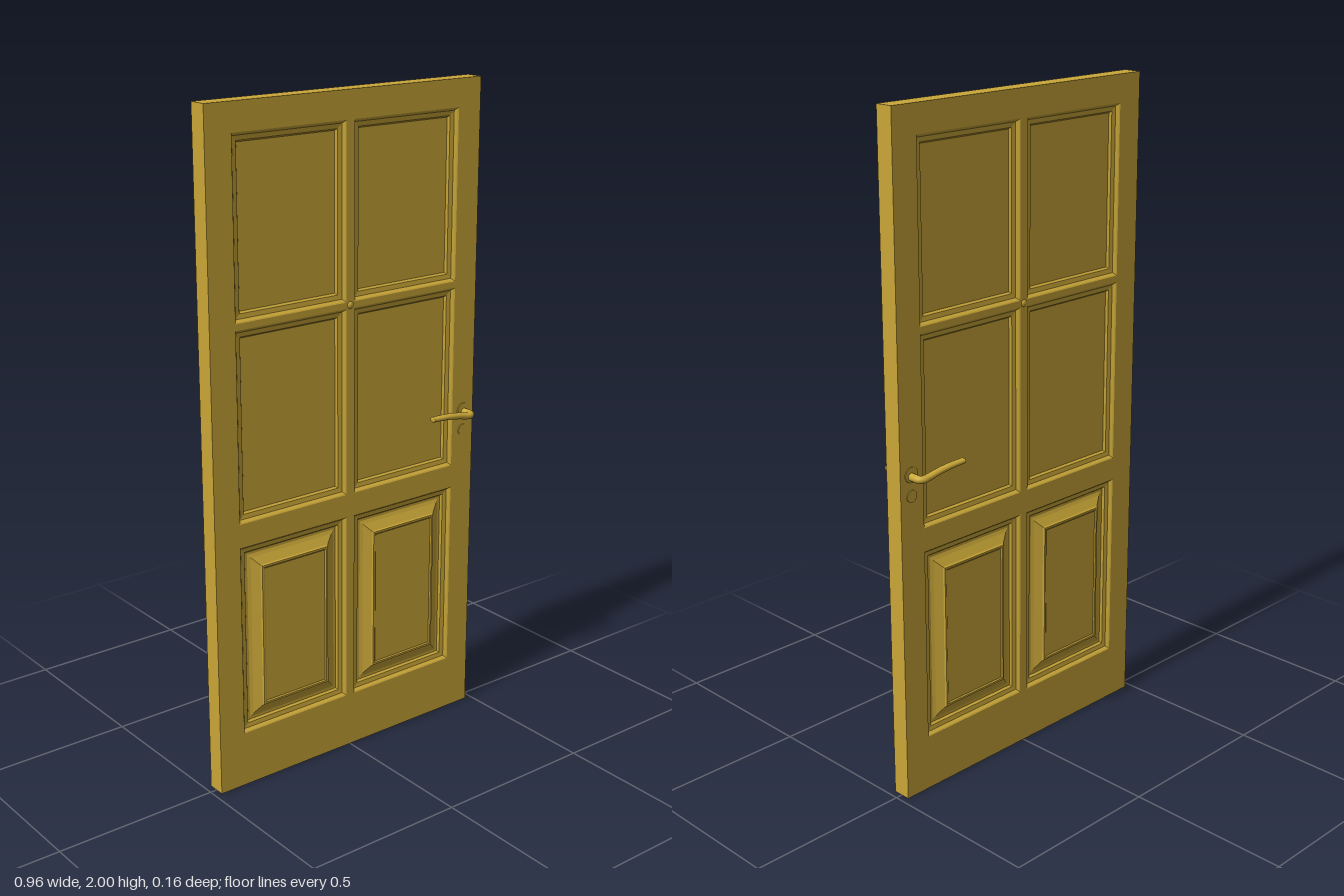
import * as THREE from 'three';

const material = new THREE.MeshStandardMaterial({ color: 0xcaa738 });
const flatMaterial = new THREE.MeshStandardMaterial({ color: 0xcaa738, flatShading: true });
const FACE = 0.028; // half the slab thickness

// openings as [x0, x1, y0, y1, raised]
const openings = [];
for (const [y0, y1, raised] of [[0.17, 0.757, true], [0.827, 1.388, false], [1.407, 1.918, false]]) {
  openings.push([0.014, 0.396, y0, y1, raised], [-0.396, -0.014, y0, y1, raised]);
}

// [inset from the opening edge, z]
const moulding = [[0, FACE], [0.003, 0.026], [0.009, 0.018], [0.023, 0.016], [0.028, 0.009]];
const raisedField = [[0.036, 0.009], [0.046, 0.013], [0.07, 0.027], [0.073, 0.032], [0.079, 0.032], [0.083, 0.029]];

function add(parent, geometry, mat, name) {
  const mesh = new THREE.Mesh(geometry, mat);
  mesh.name = name;
  parent.add(mesh);
  return mesh;
}

function rectangle(PathType, x0, x1, y0, y1) {
  return new PathType([[x0, y0], [x1, y0], [x1, y1], [x0, y1]].map(([x, y]) => new THREE.Vector2(x, y)));
}

// mitred rectangular rings that follow a profile inwards, closed by a flat centre
function panelGeometry(x0, x1, y0, y1, profile) {
  const rings = profile.map(([d, z]) => [
    [x0 + d, y0 + d, z], [x1 - d, y0 + d, z], [x1 - d, y1 - d, z], [x0 + d, y1 - d, z],
  ]);
  const positions = [];
  const quad = (a, b, c, d) => positions.push(...a, ...b, ...c, ...a, ...c, ...d);
  for (let i = 0; i + 1 < rings.length; i++) {
    for (let k = 0; k < 4; k++) {
      const n = (k + 1) % 4;
      quad(rings[i][k], rings[i][n], rings[i + 1][n], rings[i + 1][k]);
    }
  }
  quad(...rings[rings.length - 1]);
  const geometry = new THREE.BufferGeometry();
  geometry.setAttribute('position', new THREE.Float32BufferAttribute(positions, 3));
  geometry.computeVertexNormals();
  return geometry;
}

// lever handle with neck, rosette and keyhole cover; side is 1 for front, -1 for back
function createHandle(side) {
  const handle = new THREE.Group();
  handle.name = side > 0 ? 'frontHandle' : 'backHandle';

  // neck and lever in one bent, tapering sweep
  const path = new THREE.CatmullRomCurve3([
    [0.441, 0.993, 0.026], [0.441, 0.993, 0.045], [0.441, 0.993, 0.06], [0.431, 0.993, 0.069],
    [0.415, 0.994, 0.069], [0.385, 1.0, 0.069], [0.34, 1.006, 0.069], [0.282, 1.009, 0.069],
  ].map(([x, y, z]) => new THREE.Vector3(x, y, z * side)));
  const rows = 40, sides = 16;
  const lever = new THREE.TubeGeometry(path, rows, 0.0115, sides, false);
  const pos = lever.attributes.position;
  for (let i = 0; i <= rows; i++) {
    const centre = path.getPointAt(i / rows);
    const squash = 1 - 0.3 * i / rows;
    for (let j = 0; j <= sides; j++) {
      const v = i * (sides + 1) + j;
      pos.setY(v, centre.y + (pos.getY(v) - centre.y) * squash);
    }
  }
  lever.computeVertexNormals();
  add(handle, lever, material, 'lever');

  const tip = add(handle, new THREE.SphereGeometry(0.0115, 16, 10), material, 'leverTip');
  tip.scale.set(0.25, 0.7, 1);
  tip.position.set(0.282, 1.009, 0.069 * side);

  // thin round covers on the slab face
  for (const [name, y, radius] of [['rosette', 0.998, 0.023], ['keyholeCover', 0.935, 0.018]]) {
    const disc = add(handle, new THREE.CylinderGeometry(radius, radius, 0.006, 28), material, name);
    disc.rotation.x = Math.PI / 2;
    disc.position.set(0.439, y, FACE * side);
  }
  return handle;
}

export function createModel() {
  const door = new THREE.Group();
  door.name = 'door';

  // frame of stiles and rails
  const outline = rectangle(THREE.Shape, -0.479, 0.479, 0, 2);
  for (const [x0, x1, y0, y1] of openings) outline.holes.push(rectangle(THREE.Path, x0, x1, y0, y1));
  const frame = new THREE.ExtrudeGeometry(outline, { depth: 2 * FACE, bevelEnabled: false });
  frame.translate(0, 0, -FACE);
  add(door, frame, flatMaterial, 'frame');

  // panels with mouldings and the small boss at the crossing, on both faces
  for (const [name, turn] of [['frontPanels', 0], ['backPanels', Math.PI]]) {
    const face = new THREE.Group();
    face.name = name;
    face.rotation.y = turn;
    for (const [x0, x1, y0, y1, raised] of openings) {
      const profile = raised ? [...moulding, ...raisedField] : moulding;
      add(face, panelGeometry(x0, x1, y0, y1, profile), flatMaterial, raised ? 'raisedPanel' : 'plainPanel');
    }
    const boss = add(face, new THREE.SphereGeometry(0.012, 20, 12), material, 'crossingBoss');
    boss.position.set(0, 1.3975, 0.024);
    boss.scale.z = 0.75;
    door.add(face);
  }

  door.add(createHandle(1), createHandle(-1));
  return door;
}
